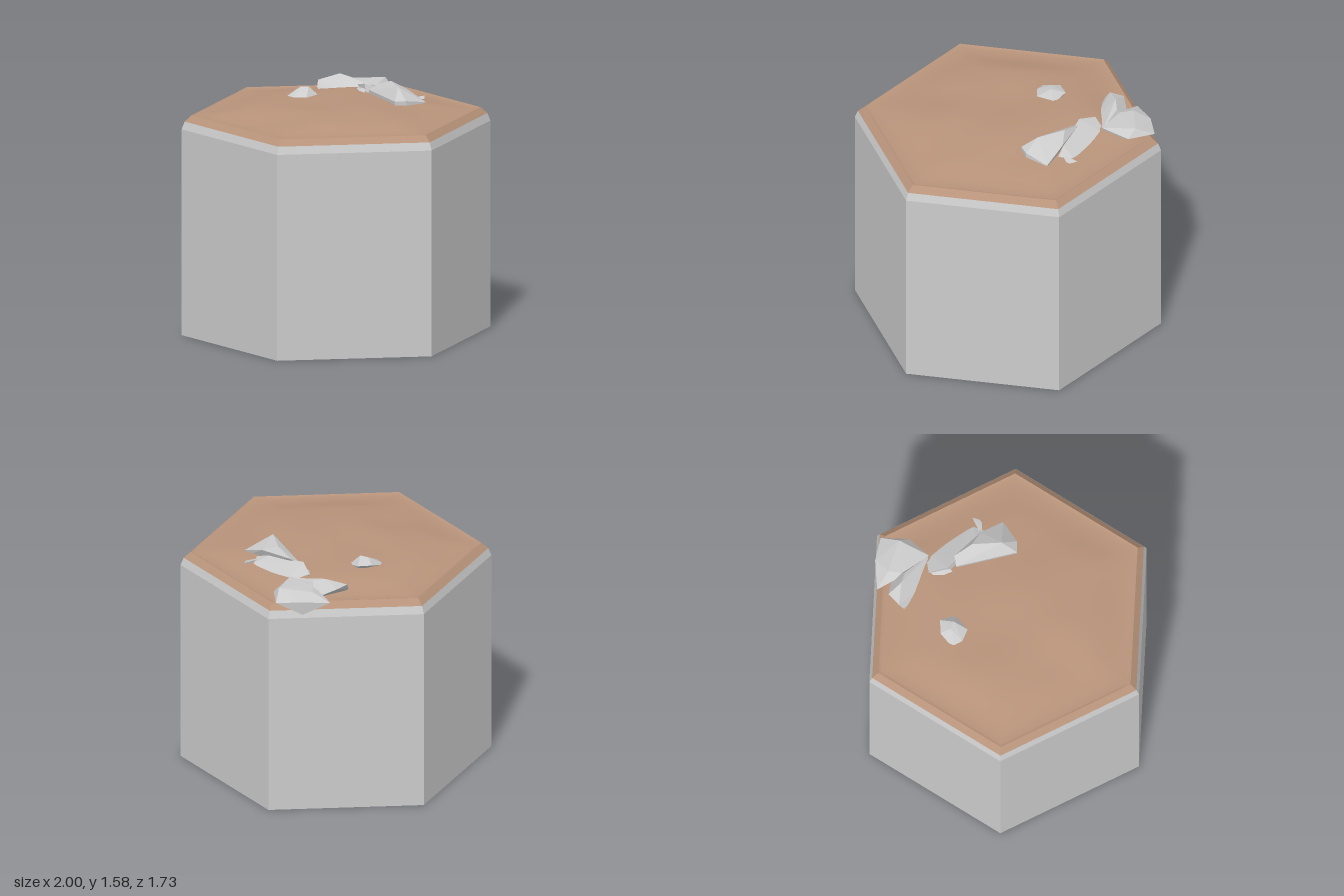
import * as THREE from 'three';
import { ConvexGeometry } from 'three/addons/geometries/ConvexGeometry.js';

const stone = new THREE.MeshStandardMaterial({ color: 0xcccccc, flatShading: true });
const earth = new THREE.MeshStandardMaterial({ color: 0xb8937a, flatShading: true });
const earthSmooth = new THREE.MeshStandardMaterial({ color: 0xb8937a });

// Hexagonal frustum with corners on the x axis
function hexBand(name, rBottom, rTop, y0, y1, material, open = true) {
  const geo = new THREE.CylinderGeometry(rTop, rBottom, y1 - y0, 6, 1, open, Math.PI / 2);
  const mesh = new THREE.Mesh(geo, material);
  mesh.position.y = (y0 + y1) / 2;
  mesh.name = name;
  return mesh;
}

// Mounds of the ground: x, z, spread, height
const mounds = [
  [-0.45, 0.1, 0.22, 0.026], [-0.1, 0.4, 0.22, 0.026], [0.25, 0.25, 0.22, 0.024],
  [0.15, -0.2, 0.22, 0.024], [-0.35, -0.35, 0.22, 0.022], [0.2, -0.55, 0.2, 0.02],
  [-0.38, 0.33, 0.12, -0.02], [0.55, -0.1, 0.18, 0.008], [0, 0.05, 0.2, 0.01],
];

function groundHeight(x, z, r) {
  const inside = THREE.MathUtils.smoothstep(0.91 - r, 0, 0.3);
  let h = 0.018;
  for (const [mx, mz, s, a] of mounds) {
    h += a * Math.exp(-((x - mx) ** 2 + (z - mz) ** 2) / (2 * s * s));
  }
  h += 0.004 * Math.sin(9 * x + 2 * z) * Math.cos(8 * z - 3 * x);
  return 1.432 + inside * h;
}

// Uneven ground: concentric hexagonal rings, each side split into equal steps
function ground() {
  const perSide = 10, count = perSide * 6;
  const radii = [0.935, 0.91];
  for (let i = 11; i >= 0; i--) radii.push((0.91 * i) / 12);
  const pos = [], index = [];
  radii.forEach((r, k) => {
    for (let j = 0; j < count; j++) {
      const side = Math.floor(j / perSide), t = (j % perSide) / perSide;
      const a = (side * Math.PI) / 3, b = a + Math.PI / 3;
      const x = r * (Math.cos(a) * (1 - t) + Math.cos(b) * t);
      const z = r * (Math.sin(a) * (1 - t) + Math.sin(b) * t);
      pos.push(x, k === 0 ? 1.44 : groundHeight(x, z, r), z);
      if (k > 0) {
        const n = (j + 1) % count, o = (k - 1) * count, i = k * count;
        index.push(o + j, i + j, o + n);
        if (r > 0) index.push(o + n, i + j, i + n);
      }
    }
  });
  const geo = new THREE.BufferGeometry();
  geo.setAttribute('position', new THREE.Float32BufferAttribute(pos, 3));
  geo.setIndex(index);
  geo.computeVertexNormals();
  const mesh = new THREE.Mesh(geo, earthSmooth);
  mesh.name = 'ground';
  return mesh;
}

// Faceted rock wrapped around its corner points
function rock(name, points) {
  const geo = new ConvexGeometry(points.map((p) => new THREE.Vector3(...p)));
  const mesh = new THREE.Mesh(geo, stone);
  mesh.name = name;
  return mesh;
}

export function createModel() {
  const model = new THREE.Group();
  model.name = 'hexagonalTile';

  // Stone column and its bevelled shoulder
  model.add(hexBand('column', 1, 1, 0, 1.35, stone, false));
  model.add(hexBand('shoulder', 1, 0.98, 1.35, 1.4, stone));

  // Earth layer
  model.add(hexBand('earthEdge', 0.98, 0.935, 1.4, 1.44, earth));
  model.add(ground());

  // Rocks
  const rocks = new THREE.Group();
  rocks.name = 'rocks';
  rocks.add(
    rock('edgeRock', [
      [0.1, 1.44, -0.845], [0.29, 1.46, -0.868], [0.45, 1.45, -0.84], [0.28, 1.37, -0.862],
      [0.45, 1.45, -0.66], [0.33, 1.49, -0.525], [0.2, 1.49, -0.66], [0.21, 1.49, -0.78],
      [0.42, 1.5, -0.72], [0.32, 1.43, -0.54],
    ]),
    rock('backRock', [
      [-0.03, 1.46, -0.67], [-0.02, 1.5, -0.7], [0.05, 1.5, -0.77], [0.12, 1.54, -0.69],
      [0.2, 1.515, -0.67], [0.33, 1.48, -0.53], [0.16, 1.44, -0.535], [0.05, 1.44, -0.6],
      [-0.02, 1.43, -0.65], [0.2, 1.43, -0.75],
    ]),
    rock('longRock', [
      [0.21, 1.5, -0.52], [0.37, 1.45, -0.55], [0.24, 1.53, -0.4], [0.3, 1.52, -0.36],
      [0.55, 1.46, -0.25], [0.52, 1.47, -0.16], [0.45, 1.5, -0.22], [0.25, 1.43, -0.36],
      [0.5, 1.43, -0.17],
    ]),
    rock('longRockTip', [
      [0.5, 1.47, -0.2], [0.61, 1.47, -0.26], [0.6, 1.46, -0.21], [0.52, 1.46, -0.155],
      [0.55, 1.43, -0.22],
    ]),
    rock('longRockSpur', [
      [0.17, 1.46, -0.43], [0.22, 1.49, -0.52], [0.26, 1.51, -0.41], [0.2, 1.44, -0.315],
      [0.18, 1.43, -0.4], [0.28, 1.43, -0.4],
    ]),
    rock('tallRock', [
      [0.26, 1.5, -0.345], [0.32, 1.535, -0.36], [0.39, 1.575, -0.25], [0.41, 1.575, -0.06],
      [0.49, 1.53, -0.2], [0.59, 1.47, -0.06], [0.45, 1.5, 0.035], [0.375, 1.5, 0.04],
      [0.33, 1.49, -0.13], [0.27, 1.43, -0.33], [0.38, 1.43, 0.04], [0.46, 1.43, 0.035],
      [0.58, 1.43, -0.06],
    ]),
    rock('smallRock', [
      [-0.3, 1.46, -0.325], [-0.2, 1.5, -0.425], [-0.11, 1.5, -0.43], [-0.06, 1.47, -0.33],
      [-0.16, 1.475, -0.245], [-0.25, 1.47, -0.27], [-0.18, 1.53, -0.36], [-0.13, 1.535, -0.34],
      [-0.23, 1.44, -0.33], [-0.11, 1.44, -0.38], [-0.15, 1.44, -0.28],
    ]),
  );
  model.add(rocks);
  return model;
}
